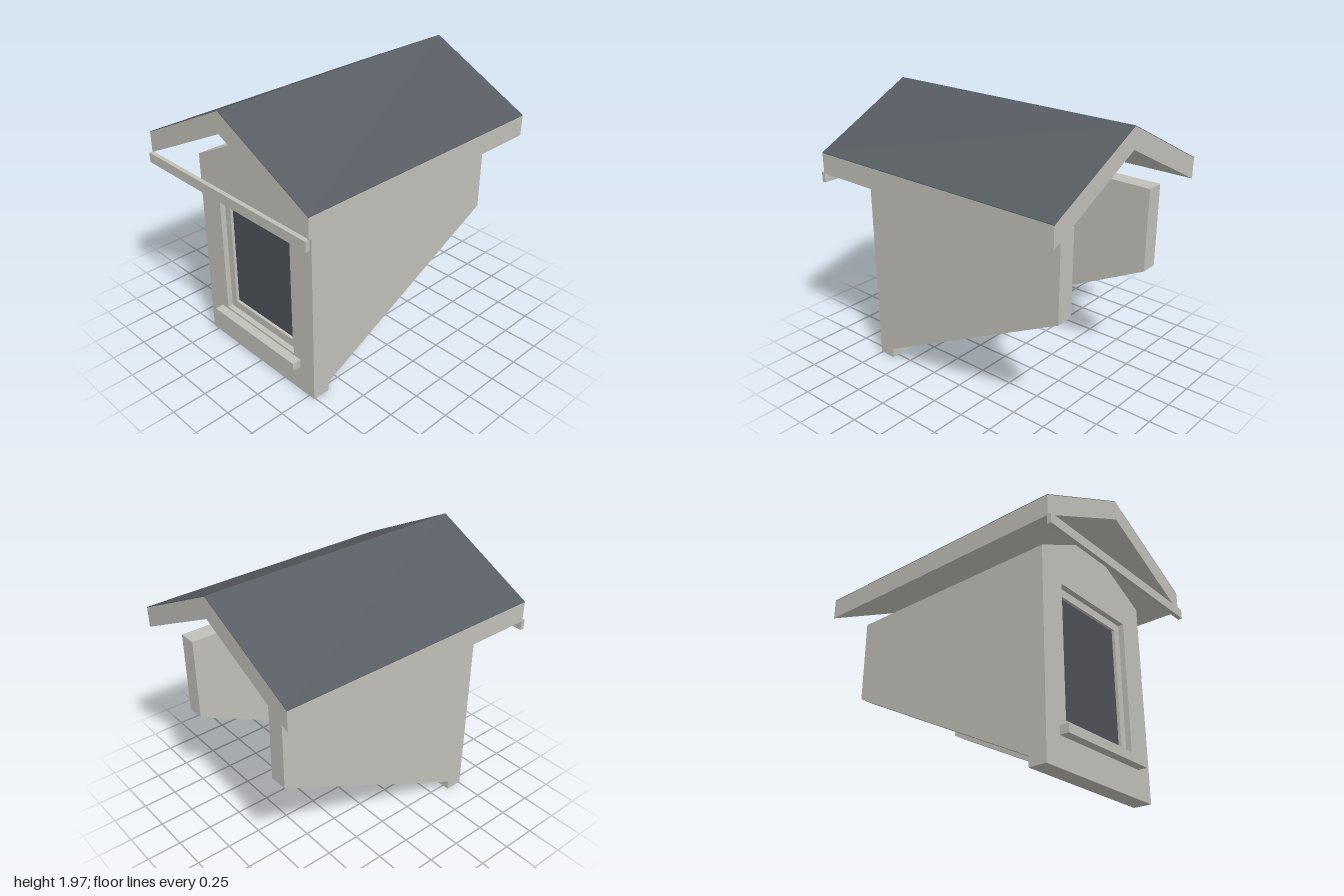
import * as THREE from 'three';

const material = (name, color) => {
  const m = new THREE.MeshStandardMaterial({ color });
  m.name = name;
  return m;
};

const shapeOf = (points) => new THREE.Shape(points.map(([a, b]) => new THREE.Vector2(a, b)));

const rectangle = (halfWidth, bottom, top) => [
  [-halfWidth, bottom], [halfWidth, bottom], [halfWidth, top], [-halfWidth, top],
];

export function createModel() {
  const dormer = new THREE.Group();
  dormer.name = 'dormer';
  const paint = material('pale grey paint', 0xc0bfb8);
  const slate = material('roof slate', 0x575c62);
  const glass = material('dark glass', 0x4e5158);

  const add = (name, geometry, mat) => {
    const mesh = new THREE.Mesh(geometry, mat);
    mesh.name = name;
    dormer.add(mesh);
    return mesh;
  };

  // Profile drawn across the width (z, y) and extruded along x
  const acrossX = (name, points, x0, x1, mat, hole) => {
    const shape = shapeOf(points);
    if (hole) shape.holes.push(shapeOf(hole));
    const geometry = new THREE.ExtrudeGeometry(shape, { depth: x1 - x0, bevelEnabled: false });
    geometry.rotateY(Math.PI / 2).translate(x0, 0, 0);
    return add(name, geometry, mat);
  };

  // Symmetric gabled band between an upper and a lower roof line
  const chevron = (eaveTop, ridgeTop, eaveBottom, ridgeBottom) => [
    [-0.77, eaveBottom], [0, ridgeBottom], [0.77, eaveBottom],
    [0.77, eaveTop], [0, ridgeTop], [-0.77, eaveTop],
  ];

  // Roof: painted body with a thin slate skin
  const skin = 0.004;
  acrossX('roofBody', chevron(1.585 - skin, 1.97 - skin, 1.435, 1.82), -0.975, 1, paint);
  acrossX('roofSlates', chevron(1.585, 1.97, 1.585 - skin, 1.97 - skin), -0.975, 1, slate);

  // Tie bar across the open gable end
  acrossX('tieBar', rectangle(0.77, 1.37, 1.44), -1, -0.97, paint);

  // Gabled window wall with its opening
  acrossX('windowWall', [
    [-0.55, 0], [0.55, 0], [0.55, 1.43], [0, 1.705], [-0.55, 1.43],
  ], -0.76, -0.63, paint, rectangle(0.355, 0.275, 1.235));

  // Recessed window and its sill
  acrossX('windowFrame', rectangle(0.355, 0.275, 1.235), -0.72, -0.67, paint,
    rectangle(0.3, 0.335, 1.18));
  acrossX('windowPane', rectangle(0.3, 0.335, 1.18), -0.699, -0.691, glass);
  acrossX('windowSill', rectangle(0.42, 0.2, 0.26), -0.825, -0.76, paint);

  // Side walls, cut to the slope of the main roof
  const cheek = shapeOf([[-0.63, 0.07], [0.885, 0.83], [0.885, 1.43], [-0.63, 1.43]]);
  for (const [name, z] of [['frontSideWall', 0.42], ['backSideWall', -0.55]]) {
    const geometry = new THREE.ExtrudeGeometry(cheek, { depth: 0.13, bevelEnabled: false });
    add(name, geometry, paint).position.z = z;
  }

  return dormer;
}
